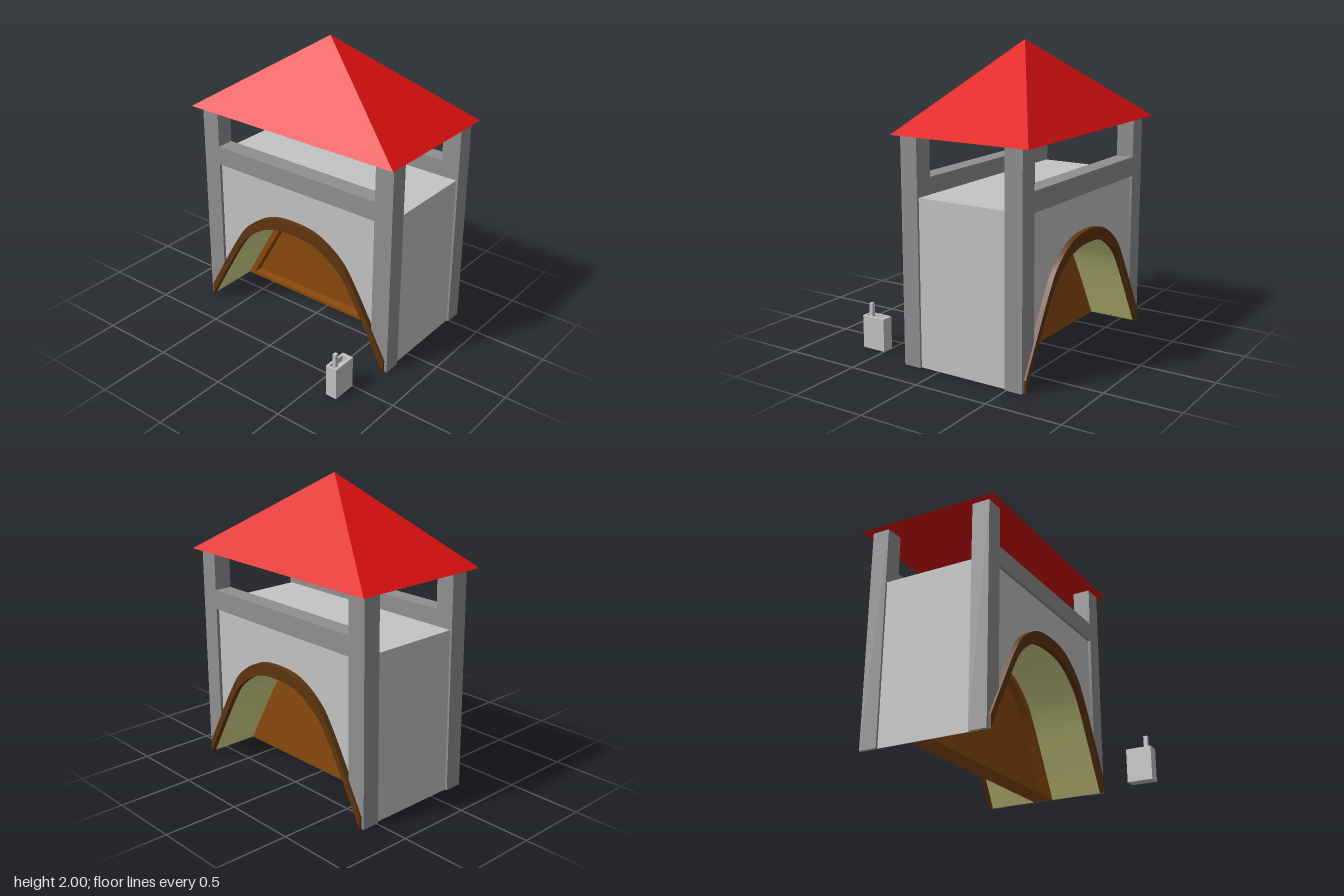
import * as THREE from 'three';
import { toCreasedNormals } from 'three/addons/utils/BufferGeometryUtils.js';

const material = (name, color) => new THREE.MeshStandardMaterial({ name, color });

export function createModel() {
  const stone = material('light stone', 0xc4c4c4);
  const frame = material('grey frame', 0x909090);
  const red = material('roof red', 0xe01010);
  const wood = material('door brown', 0x8b4a0e);
  const darkWood = material('arch dark brown', 0x5e3510);
  const cream = material('tunnel cream', 0xdada8c);

  const model = new THREE.Group();
  model.name = 'gatehouse';
  const tower = new THREE.Group();
  tower.name = 'tower';
  tower.position.z = 0.01;
  model.add(tower);

  const add = (parent, name, geometry, mat) => {
    const mesh = new THREE.Mesh(geometry, mat);
    mesh.name = name;
    parent.add(mesh);
    return mesh;
  };
  const box = (x0, x1, y0, y1, z0, z1) =>
    new THREE.BoxGeometry(x1 - x0, y1 - y0, z1 - z0)
      .translate((x0 + x1) / 2, (y0 + y1) / 2, (z0 + z1) / 2);
  const shapeOf = (pts) => new THREE.Shape(pts.map(([a, b]) => new THREE.Vector2(a, b)));
  // Extrudes a (z, y) profile along x
  const alongX = (shape, x0, x1) => {
    const g = new THREE.ExtrudeGeometry(shape, { depth: x1 - x0, bevelEnabled: false });
    return toCreasedNormals(g.rotateY(-Math.PI / 2).translate(x1, 0, 0), 0.5);
  };

  // Tunnel curve, mirrored about the crown
  const half = [[0.75, 0], [0.61, 0.25], [0.485, 0.465], [0.38, 0.605], [0.2, 0.72]];
  const keys = [...half, [0, 0.748], ...half.map(([z, y]) => [-z, y]).reverse()];
  const curve = new THREE.SplineCurve(keys.map(([z, y]) => new THREE.Vector2(z, y)))
    .getPoints(40).map((p) => [p.x, Math.max(0, p.y)]);
  const raised = (d) => curve.map(([z, y]) => [z, y + d]);
  const band = shapeOf([...curve, ...raised(0.083).reverse()]);

  // Stone body with the tunnel cut through it
  add(tower, 'body', alongX(shapeOf([
    [0.75, 0], ...raised(0.02), [-0.75, 0], [-0.755, 0], [-0.755, 1.085], [0.755, 1.085], [0.755, 0],
  ]), -0.235, 0.59), stone);

  // Corner posts and side beams
  for (const [x0, x1] of [[-0.255, -0.135], [0.49, 0.61]]) {
    for (const s of [1, -1]) {
      add(tower, 'cornerPost', alongX(shapeOf([
        [s * 0.77, 0], [s * 0.77, 1.46], [s * 0.64, 1.46], [s * 0.64, 0.22], [s * 0.757, 0],
      ]), x0, x1), frame);
    }
    add(tower, 'sideBeam', box(x0, x1, 1.065, 1.195, -0.64, 0.64), frame);
  }

  // Arch trims on both sides and the lining between them
  add(tower, 'archTrimLeft', alongX(band, 0.59, 0.625), darkWood);
  add(tower, 'archTrimRight', alongX(band, -0.27, -0.235), darkWood);
  add(tower, 'tunnelLining', alongX(band, -0.235, 0.59), cream);

  // Gate across the middle of the tunnel, with a raised rim on one face
  const gate = raised(0.01);
  const gateOutline = [[0.75, 0], ...gate, [-0.75, 0]];
  add(tower, 'gate', alongX(shapeOf(gateOutline), 0.18, 0.26), wood);
  const rim = shapeOf(gateOutline);
  rim.holes.push(new THREE.Path(curve.map(([z, y]) => new THREE.Vector2(z * 0.92, 0.025 + y * 0.92))));
  add(tower, 'gateRim', alongX(rim, 0.12, 0.18), wood);

  // Pyramid roof with its peak slightly off centre
  const roof = new THREE.ConeGeometry(Math.SQRT1_2, 1, 4, 1).rotateY(Math.PI / 4)
    .scale(0.975, 0.54, 1.62).translate(0.1775, 1.73, 0).toNonIndexed();
  const p = roof.attributes.position;
  for (let i = 0; i < p.count; i++) if (p.getY(i) > 1.9) p.setX(i, 0.14);
  roof.computeVertexNormals();
  add(model, 'roof', roof, red);

  // Lever box with a slot in its top
  const control = new THREE.Group();
  control.name = 'leverBox';
  model.add(control);
  add(control, 'leverBase', box(-0.67, -0.5, 0, 0.18, 0.61, 0.69), stone);
  const top = shapeOf([[-0.67, -0.69], [-0.5, -0.69], [-0.5, -0.61], [-0.67, -0.61]]);
  top.holes.push(new THREE.Path([[-0.657, -0.672], [-0.657, -0.626], [-0.525, -0.626], [-0.525, -0.672]]
    .map(([a, b]) => new THREE.Vector2(a, b))));
  add(control, 'slotRim', new THREE.ExtrudeGeometry(top, { depth: 0.04, bevelEnabled: false })
    .rotateX(-Math.PI / 2).translate(0, 0.18, 0), stone);
  add(control, 'lever', box(-0.64, -0.614, 0.18, 0.3, 0.637, 0.661), stone);

  return model;
}
